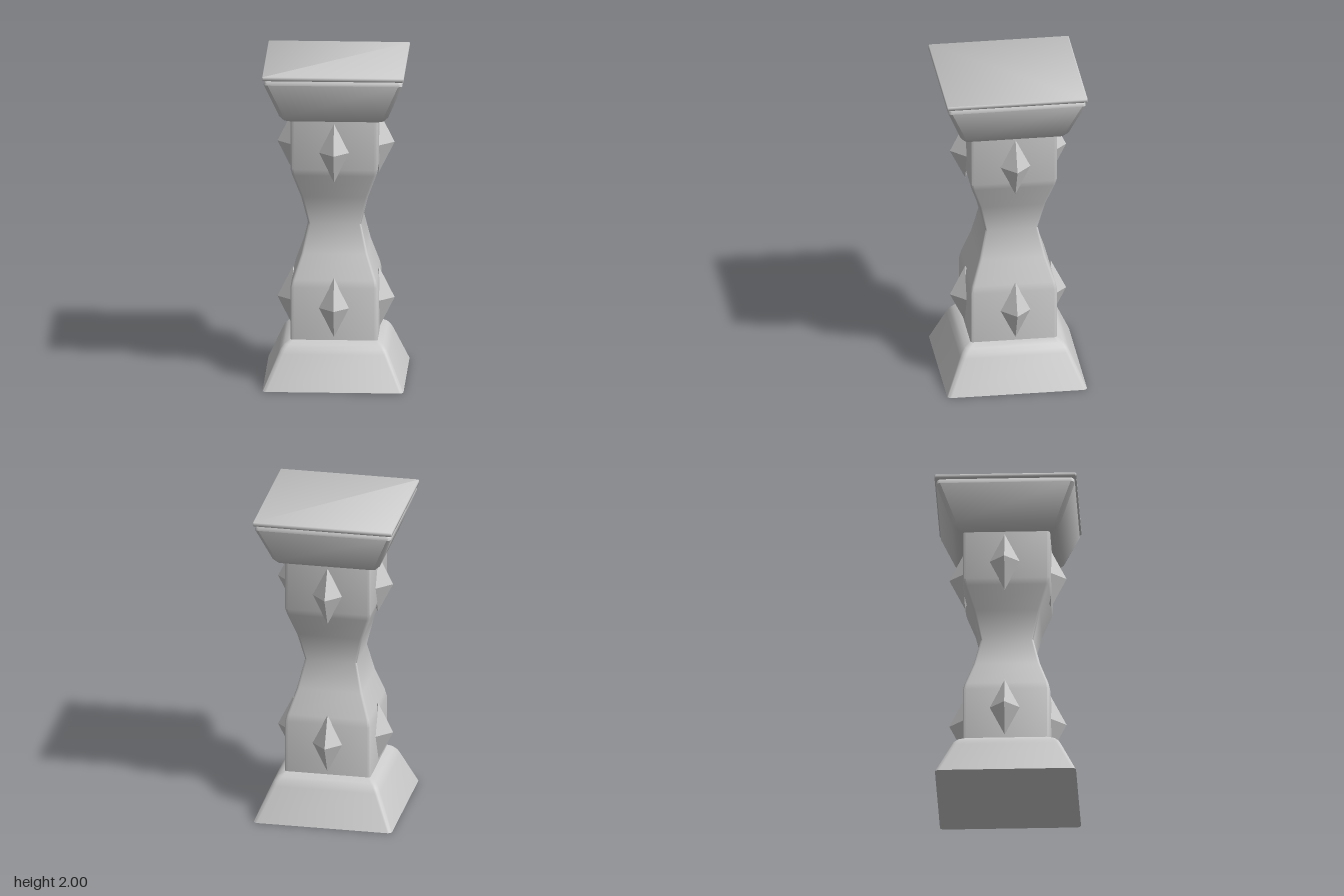
import * as THREE from 'three';
import { toCreasedNormals } from 'three/addons/utils/BufferGeometryUtils.js';

const material = new THREE.MeshStandardMaterial({ color: 0xcccccc });

// Square cross-section with rounded corners, counter-clockwise seen from above
function ring(half, y, radius, steps = 3) {
  const points = [];
  for (let corner = 0; corner < 4; corner++) {
    const mid = (corner + 0.5) * Math.PI / 2;
    const cx = Math.sign(Math.cos(mid)) * (half - radius);
    const cz = -Math.sign(Math.sin(mid)) * (half - radius);
    for (let i = 0; i <= steps; i++) {
      const a = (corner + i / steps) * Math.PI / 2;
      points.push([cx + Math.cos(a) * radius, y, cz - Math.sin(a) * radius]);
    }
  }
  return points;
}

// Closed loft through [halfWidth, y, cornerRadius] sections, bottom to top
function squareLoft(name, sections, crease) {
  const rings = sections.map(s => ring(...s));
  const n = rings[0].length;
  const positions = rings.flat(2);
  const index = [];
  for (let r = 0; r < rings.length - 1; r++) {
    for (let i = 0; i < n; i++) {
      const a = r * n + i, b = r * n + (i + 1) % n;
      index.push(a, b, b + n, a, b + n, a + n);
    }
  }
  const top = (rings.length - 1) * n;
  for (let i = 1; i < n - 1; i++) {
    index.push(0, i + 1, i, top, top + i, top + i + 1);
  }
  const geometry = new THREE.BufferGeometry();
  geometry.setAttribute('position', new THREE.Float32BufferAttribute(positions, 3));
  geometry.setIndex(index);
  const mesh = new THREE.Mesh(toCreasedNormals(geometry, crease), material);
  mesh.name = name;
  return mesh;
}

export function createModel() {
  const pillar = new THREE.Group();
  pillar.name = 'pillar';

  // Flared foot, waisted shaft, flared head and thin top slab
  pillar.add(
    squareLoft('base', [
      [0.433, 0, 0.025], [0.34, 0.215, 0.03], [0.325, 0.245, 0.03],
      [0.305, 0.268, 0.03], [0.265, 0.292, 0.02],
    ], 0.6),
    squareLoft('shaft', [
      [0.268, 0.28, 0.018], [0.268, 0.62, 0.018], [0.258, 0.665, 0.018],
      [0.205, 0.82, 0.016], [0.163, 1.0, 0.014], [0.205, 1.18, 0.016],
      [0.258, 1.33, 0.018], [0.268, 1.37, 0.018], [0.268, 1.69, 0.018],
    ], 0.6),
    squareLoft('capital', [
      [0.285, 1.682, 0.02], [0.31, 1.692, 0.025], [0.335, 1.72, 0.03],
      [0.426, 1.945, 0.025], [0.424, 1.962, 0.025], [0.412, 1.98, 0.02],
    ], 0.6),
    squareLoft('topSlab', [
      [0.431, 1.975, 0.006], [0.435, 1.979, 0.008],
      [0.435, 1.996, 0.008], [0.431, 2.0, 0.006],
    ], 0.9),
  );

  // Pointed studs, two rows on all four faces, half sunk into the shaft
  const stud = new THREE.OctahedronGeometry(1, 0).scale(0.095, 0.19, 0.095);
  for (const [row, y] of [['lower', 0.493], ['upper', 1.48]]) {
    for (const [side, x, z] of [
      ['Front', 0, 0.265], ['Back', 0, -0.265],
      ['Left', 0.265, -0.01], ['Right', -0.265, -0.01],
    ]) {
      const mesh = new THREE.Mesh(stud, material);
      mesh.name = row + side + 'Stud';
      mesh.position.set(x, y, z);
      pillar.add(mesh);
    }
  }
  return pillar;
}
